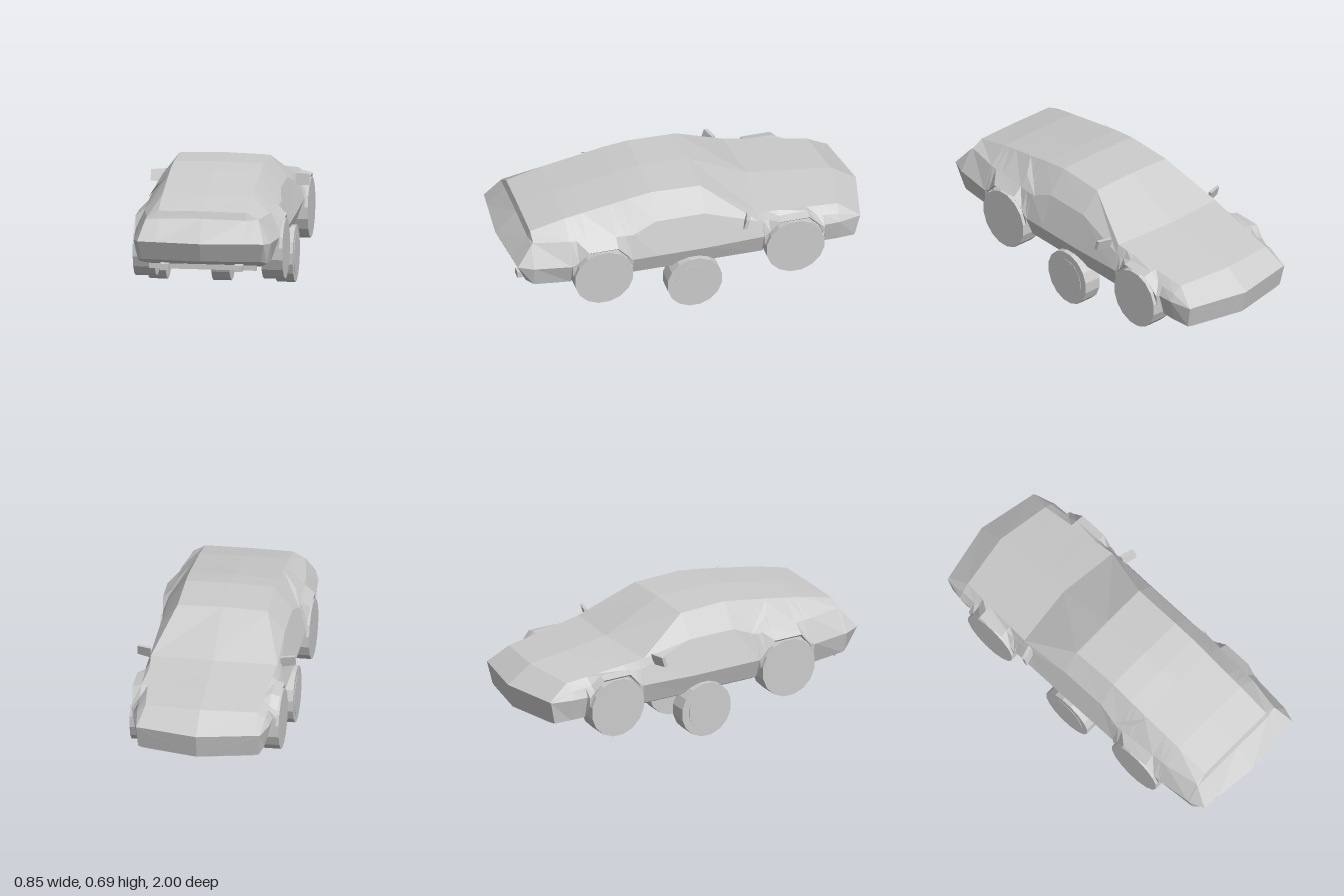
import * as THREE from 'three';

const material = new THREE.MeshStandardMaterial({ color: 0xcccccc, flatShading: true });
const thin = new THREE.MeshStandardMaterial({ color: 0xcccccc, flatShading: true, side: THREE.DoubleSide });

function add(parent, name, geometry, x = 0, y = 0, z = 0, mat = material) {
  const mesh = new THREE.Mesh(geometry, mat);
  mesh.name = name;
  mesh.position.set(x, y, z);
  parent.add(mesh);
  return mesh;
}

// Body stations from tail to nose:
// z, centre bow, underside z shift, bottom y, sill x y, belt x y, shoulder x y, top edge x y, top centre y
const stations = [
  [0.965, 0.032, -0.05, 0.295, 0.32, 0.295, 0.34, 0.40, 0.34, 0.40, 0.24, 0.40, 0.40],
  [0.882, 0, 0, 0.27, 0.345, 0.28, 0.37, 0.39, 0.305, 0.505, 0.235, 0.51, 0.515],
  [0.87, 0, 0, 0.265, 0.345, 0.275, 0.37, 0.39, 0.30, 0.515, 0.238, 0.55, 0.553],
  [0.68, 0, 0, 0.22, 0.345, 0.255, 0.388, 0.38, 0.335, 0.51, 0.24, 0.598, 0.603],
  [0.33, 0, 0, 0.22, 0.345, 0.25, 0.387, 0.36, 0.355, 0.50, 0.243, 0.66, 0.668],
  [0.2, 0, 0, 0.22, 0.345, 0.25, 0.387, 0.36, 0.335, 0.55, 0.24, 0.678, 0.685],
  [-0.07, 0, 0, 0.22, 0.345, 0.25, 0.387, 0.36, 0.335, 0.55, 0.243, 0.67, 0.677],
  [-0.36, -0.035, 0, 0.22, 0.345, 0.25, 0.387, 0.37, 0.36, 0.46, 0.342, 0.505, 0.52],
  [-0.81, -0.05, 0, 0.23, 0.34, 0.245, 0.368, 0.37, 0.345, 0.41, 0.30, 0.445, 0.46],
  [-0.93, -0.07, 0.03, 0.235, 0.325, 0.24, 0.334, 0.365, 0.334, 0.365, 0.325, 0.367, 0.367],
];
const axles = [0.505, -0.555];

// Interpolated station at any z
function stationAt(z) {
  const i = stations.findIndex((s, k) => k > 0 && s[0] <= z);
  const a = stations[i - 1], b = stations[i];
  const t = (z - a[0]) / (b[0] - a[0]);
  return a.map((v, k) => THREE.MathUtils.lerp(v, b[k], t));
}

// Ring of points round the shell; an arch height lifts the sill over a wheel
function ring([z, bow, dz, fy, sx, sy, bx, by, hx, hy, ex, ey, cy], arch) {
  let lip = [0.29, fy];
  if (arch) {
    sx = 0.385;
    sy = arch;
    lip = [sx, sy];
    by = Math.max(by, arch + 0.012);
    bx = Math.max(bx, arch > 0.4 ? 0.398 : 0.39);
    hy = Math.max(hy, by + 0.012);
  }
  const half = [[0, fy], lip, [sx, sy], [bx, by], [hx, hy], [ex, ey], [0, cy]];
  const right = half.slice(1, -1).reverse().map(([x, y]) => [-x, y]);
  const place = (x, y, low) =>
    new THREE.Vector3(x, y, z + bow * Math.max(0, 1 - Math.abs(x) / 0.34) + (low ? dz : 0));
  return [...half, ...right].map(([x, y], j) => place(x, y, j < 3 || j > 9));
}

// Shell open underneath, with a floor only below the tail
function bodyGeometry() {
  const rows = stations.map((s) => ({ s, arch: 0 }));
  for (const c of axles) {
    for (const side of [1, -1]) {
      for (const [d, arch] of [[0.17, 0], [0.166, 0.31], [0.135, 0.385], [0.08, 0.445]]) {
        rows.push({ s: stationAt(c + side * d), arch });
      }
    }
  }
  rows.sort((a, b) => b.s[0] - a.s[0]);
  const rings = rows.map((r) => ring(r.s, r.arch));
  const n = rings[0].length, pos = [];
  const tri = (...pts) => pts.forEach((p) => pos.push(p.x, p.y, p.z));
  for (let i = 0; i < rings.length - 1; i++) {
    const open = rows[i].s[0] < 0.7;
    for (let j = 0; j < n; j++) {
      if (open && (j === 0 || j === n - 1)) continue;
      const k = (j + 1) % n;
      const a = rings[i][j], b = rings[i][k], c = rings[i + 1][k], d = rings[i + 1][j];
      tri(a, d, b);
      tri(b, d, c);
    }
  }
  // Tail and nose faces
  const tail = rings[0], nose = rings[rings.length - 1];
  for (let j = 1; j < n - 1; j++) {
    tri(tail[0], tail[j], tail[j + 1]);
    tri(nose[0], nose[j + 1], nose[j]);
  }
  return triangles(pos);
}

function triangles(pos) {
  const g = new THREE.BufferGeometry();
  g.setAttribute('position', new THREE.Float32BufferAttribute(pos, 3));
  g.computeVertexNormals();
  return g;
}

// Sixteen-sided wheel standing on a flat facet
function wheelGeometry(height, width) {
  const r = height / Math.cos(Math.PI / 16);
  return new THREE.CylinderGeometry(r, r, width, 16, 1, false, Math.PI / 16).rotateZ(Math.PI / 2);
}

export function createModel() {
  const car = new THREE.Group();
  car.name = 'car';
  add(car, 'body', bodyGeometry(), 0, 0, 0, thin);
  add(car, 'rearValance', new THREE.BoxGeometry(0.58, 0.028, 0.008), 0, 0.249, 0.86);

  // Spare row of wheels under the middle
  add(car, 'centreMiddleWheel', wheelGeometry(0.15, 0.098), 0, 0.15, 0);

  for (const s of [1, -1]) {
    const side = s > 0 ? 'left' : 'right';

    // Road wheels
    add(car, side + 'RearWheel', wheelGeometry(0.16, 0.115), s * 0.345, 0.285, axles[0]);
    add(car, side + 'FrontWheel', wheelGeometry(0.16, 0.115), s * 0.345, 0.285, axles[1]);
    add(car, side + 'MiddleWheel', wheelGeometry(0.15, 0.098), s * 0.343, 0.15, 0);
    add(car, side + 'MiddleHub', wheelGeometry(0.108, 0.006), s * 0.391, 0.15, 0);

    // Door mirror: a wing rooted in the door, swept back and leaning
    const mirror = new THREE.BoxGeometry(0.075, 0.056, 0.02);
    const p = mirror.attributes.position;
    for (let i = 0; i < p.count; i++) {
      p.setZ(i, p.getZ(i) + p.getX(i) * s * 0.3 - p.getY(i) * 0.3);
      if (p.getX(i) * s < 0 && p.getY(i) < 0) p.setY(i, p.getY(i) - 0.006);
    }
    add(car, side + 'Mirror', mirror, s * 0.388, 0.497, -0.29);

    // Air intake fin behind the side window
    const fin = [s * 0.248, 0.648, 0.46, s * 0.365, 0.50, 0.29, s * 0.318, 0.575, 0.41];
    add(car, side + 'IntakeFin', triangles(fin), 0, 0, 0, thin);

    // Exhaust
    add(car, side + 'Exhaust', new THREE.BoxGeometry(0.045, 0.034, 0.14), s * 0.199, 0.258, 0.865);
  }
  return car;
}
